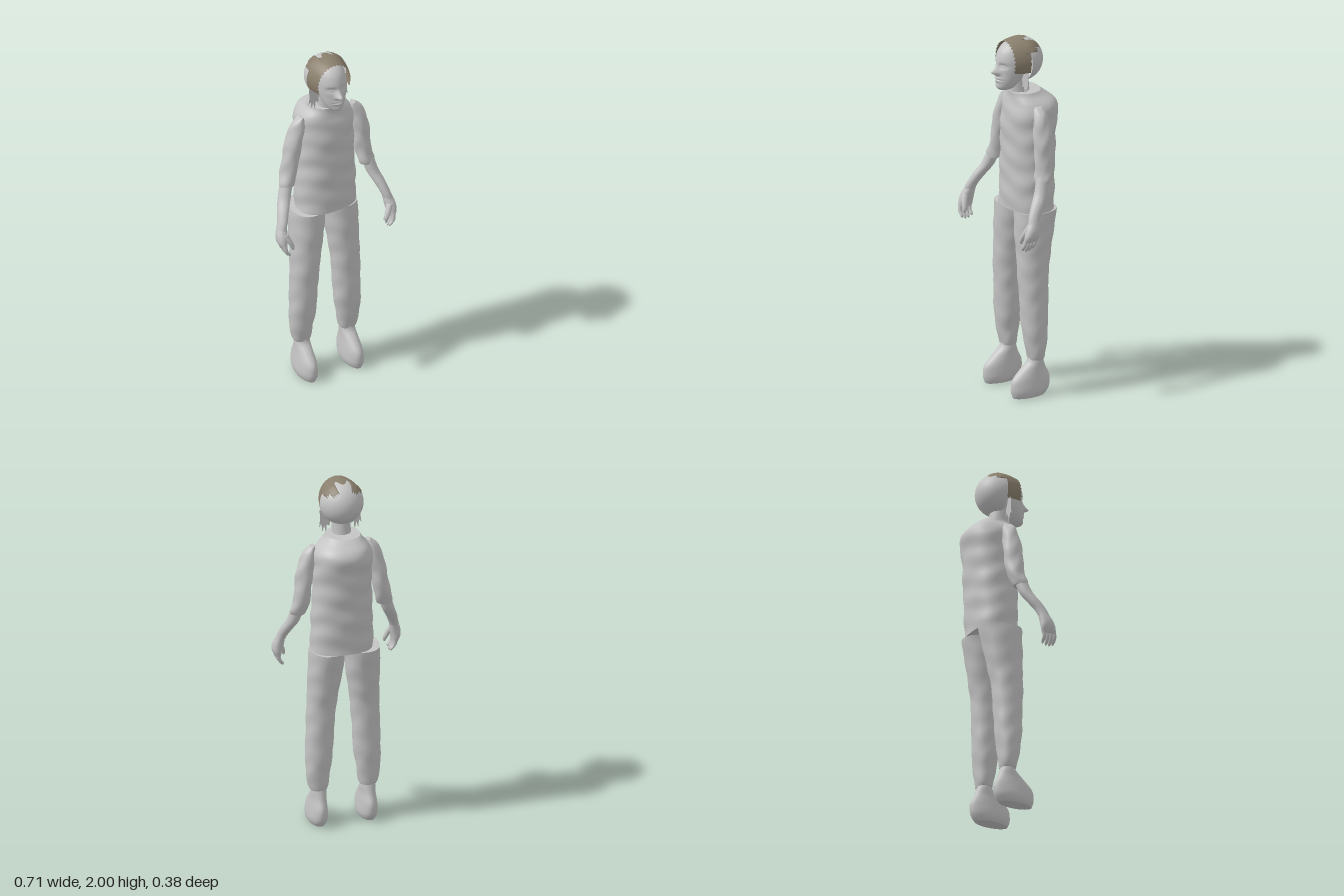
import * as THREE from 'three';

const grey = new THREE.MeshStandardMaterial({ color: 0xc4c4c4, side: THREE.DoubleSide });
grey.name = 'plain grey';
const brown = new THREE.MeshStandardMaterial({ color: 0x8a7f6d, side: THREE.DoubleSide });
brown.name = 'hair brown';

function mesh(name, geometry, material = grey) {
  const m = new THREE.Mesh(geometry, material);
  m.name = name;
  return m;
}

function indexed(pos, idx) {
  const g = new THREE.BufferGeometry();
  g.setAttribute('position', new THREE.Float32BufferAttribute(pos, 3));
  g.setIndex(idx);
  g.computeVertexNormals();
  return g;
}

// Smooth closed loft through horizontal sections [y, x, z, rx, rz].
// power 2 = ellipse, higher = boxier; move(p, angle) may displace side points.
function loft(sections, { rows = 24, cols = 28, power = 2, move = null } = {}) {
  const s = sections[0][0] < sections[sections.length - 1][0] ? sections : [...sections].reverse();
  const spline = (a, b) => new THREE.SplineCurve(s.map((q) => new THREE.Vector2(q[a], q[b])));
  const c1 = spline(0, 1), c2 = spline(2, 3), c3 = spline(4, 4);
  const pos = [], idx = [], p = new THREE.Vector3();
  const bend = (v) => Math.sign(v) * Math.abs(v) ** (2 / power);
  for (let i = 0; i <= rows; i++) {
    const a = c1.getPoint(i / rows), b = c2.getPoint(i / rows), c = c3.getPoint(i / rows);
    for (let j = 0; j < cols; j++) {
      const t = (j / cols) * Math.PI * 2;
      p.set(a.y + b.y * bend(Math.cos(t)), a.x, b.x + c.x * bend(Math.sin(t)));
      if (move) move(p, t);
      pos.push(p.x, p.y, p.z);
      if (i < rows) {
        const k = i * cols + j, n = i * cols + ((j + 1) % cols);
        idx.push(k, k + cols, n, n, k + cols, n + cols);
      }
    }
  }
  // flat ends with their own corners, so the rims stay crisp
  for (const [row, q] of [[0, s[0]], [rows, s[s.length - 1]]]) {
    const base = pos.length / 3;
    pos.push(...pos.slice(row * cols * 3, (row + 1) * cols * 3), q[1], q[0], q[2]);
    for (let j = 0; j < cols; j++) {
      const a = base + j, b = base + ((j + 1) % cols), m = base + cols;
      if (row) idx.push(m, b, a); else idx.push(m, a, b);
    }
  }
  return indexed(pos, idx);
}

// Soft cloth ripples
const ripple = (amp) => (p, t) => {
  const w = amp * (Math.sin(p.y * 52 + 2 * Math.sin(t * 2)) + 0.7 * Math.sin(p.y * 31 + t * 3));
  p.x += Math.cos(t) * w;
  p.z += Math.sin(t) * w;
};

// Gaussian face features: [x, y, width, height, push]
const features = [
  [0, 1.826, 0.012, 0.011, 0.029], [0, 1.845, 0.009, 0.017, 0.014],
  [-0.015, 1.821, 0.008, 0.008, 0.008], [0.015, 1.821, 0.008, 0.008, 0.008],
  [-0.034, 1.862, 0.017, 0.010, -0.013], [0.034, 1.862, 0.017, 0.010, -0.013],
  [-0.034, 1.860, 0.009, 0.005, 0.006], [0.034, 1.860, 0.009, 0.005, 0.006],
  [0, 1.790, 0.021, 0.005, 0.007], [0, 1.776, 0.018, 0.005, 0.007],
  [0, 1.783, 0.024, 0.003, -0.006], [0, 1.743, 0.020, 0.010, 0.005],
];
function sculptFace(p, t) {
  if (Math.sin(t) <= 0) return;
  let d = 0;
  for (const [x, y, w, h, push] of features) {
    d += push * Math.exp(-(((p.x - 0.008 - x) / w) ** 2 + ((p.y - y) / h) ** 2) / 2);
  }
  p.z += d;
}

function buildHead() {
  const head = new THREE.Group();
  head.name = 'head';
  // face sections: y, half width, front z, back z
  const face = [
    [1.718, 0.018, 0.13, 0.07], [1.73, 0.038, 0.148, 0.05], [1.75, 0.054, 0.153, 0.03],
    [1.78, 0.068, 0.155, 0.0], [1.82, 0.079, 0.153, -0.03], [1.86, 0.084, 0.153, -0.05],
    [1.90, 0.084, 0.148, -0.06], [1.94, 0.075, 0.132, -0.06], [1.97, 0.055, 0.102, -0.04],
    [1.987, 0.015, 0.06, 0.01],
  ].map(([y, rx, f, b]) => [y, 0.008, (f + b) / 2, rx, (f - b) / 2]);
  head.add(mesh('face', loft(face, { rows: 110, cols: 110, move: sculptFace })));
  head.add(mesh('neck', loft([
    [1.64, 0.008, 0.01, 0.06, 0.06], [1.70, 0.008, 0.013, 0.052, 0.055], [1.78, 0.008, 0.02, 0.052, 0.055],
  ])));

  // open half shell over the back of the skull
  const shell = new THREE.SphereGeometry(0.12, 40, 28, Math.PI, Math.PI);
  shell.rotateY(Math.PI);
  const back = mesh('backOfHead', shell);
  shell.computeBoundingBox();
  if (shell.boundingBox.max.z > 0.06) shell.rotateY(Math.PI);
  back.position.set(0.01, 1.876, 0.006);
  head.add(back);

  // brown arch of hair with a jagged rear edge
  const rearEdge = (a) => {
    const b = Math.abs(a);
    const jag = 0.006 * Math.sin(a * 47);
    if (b < 0.2) return -0.03 + b * b * 0.6;
    if (b < 0.34) return 0.005 + jag;
    if (b < 0.8) return -0.072 + jag;
    if (b < 1.05) return -0.045 + jag;
    return 0.01;
  };
  const pos = [], idx = [], cols = 96, rows = 12, reach = 2.0;
  for (let i = 0; i <= rows; i++) {
    for (let j = 0; j <= cols; j++) {
      const a = -reach + (2 * reach * j) / cols;
      const front = 0.1 + 0.004 * Math.sin(a * 31);
      const z = THREE.MathUtils.lerp(front, rearEdge(a), i / rows);
      const r = z > 0.01 ? 0.124 - 1.6 * (z - 0.01) ** 2 : Math.sqrt(0.124 ** 2 - (z - 0.01) ** 2);
      const narrow = z > 0 ? 0.97 - z * 0.9 : 1;
      pos.push(0.009 + r * narrow * Math.sin(a), 1.876 + r * Math.cos(a), z);
      if (i < rows && j < cols) {
        const k = i * (cols + 1) + j, n = k + cols + 1;
        idx.push(k, k + 1, n, k + 1, n + 1, n);
      }
    }
  }
  head.add(mesh('hair', indexed(pos, idx), brown));

  // ragged locks beside the jaw
  for (const s of [1, -1]) {
    const outline = [[0.07, 1.83], [0.115, 1.83], [0.113, 1.77], [0.118, 1.73], [0.105, 1.745], [0.1, 1.7],
      [0.09, 1.735], [0.08, 1.69], [0.075, 1.74], [0.06, 1.73], [0.055, 1.78]];
    const shape = new THREE.Shape(outline.map(([x, y]) => new THREE.Vector2(0.008 + s * x, y)));
    const lock = mesh(s > 0 ? 'leftLock' : 'rightLock', new THREE.ShapeGeometry(shape));
    lock.position.z = 0.03;
    head.add(lock);
  }
  return head;
}

function buildArm(s) {
  const arm = new THREE.Group();
  arm.name = s > 0 ? 'leftArm' : 'rightArm';
  // shoulders sit slightly to the left of the hands' midline
  const place = (list) => list.map(([y, x, z, rx, rz]) =>
    [y, s * x + 0.018 * THREE.MathUtils.smoothstep(y, 1.05, 1.6), z, rx, rz]);
  const add = (name, list, opts) => arm.add(mesh(name, loft(place(list), opts)));
  add('sleeve', [
    [1.643, 0.156, -0.003, 0.012, 0.024], [1.61, 0.172, -0.004, 0.034, 0.036], [1.55, 0.188, -0.004, 0.044, 0.047],
    [1.48, 0.203, -0.003, 0.047, 0.052], [1.4, 0.214, -0.002, 0.045, 0.053], [1.32, 0.226, 0.002, 0.045, 0.049],
    [1.27, 0.238, 0.014, 0.047, 0.043], [1.245, 0.242, 0.02, 0.042, 0.037],
  ], { rows: 48, move: ripple(0.0018) });
  add('forearm', [
    [1.28, 0.242, 0.018, 0.034, 0.034], [1.2, 0.264, 0.04, 0.034, 0.037], [1.14, 0.29, 0.075, 0.031, 0.038],
    [1.09, 0.308, 0.105, 0.027, 0.034], [1.05, 0.321, 0.12, 0.026, 0.032],
  ]);
  add('palm', [
    [1.06, 0.318, 0.116, 0.025, 0.03], [1.02, 0.326, 0.13, 0.029, 0.038], [0.985, 0.33, 0.137, 0.025, 0.042],
    [0.955, 0.326, 0.142, 0.016, 0.04],
  ], { power: 2.4 });
  for (let f = 0; f < 4; f++) {
    const z = 0.112 + f * 0.02, tip = 0.89 + 0.008 * Math.abs(f - 1.6);
    add('finger', [
      [0.975, 0.329, z, 0.012, 0.011], [0.935, 0.322, z + 0.006, 0.011, 0.0105],
      [tip + 0.012, 0.306, z + 0.006, 0.0095, 0.009], [tip, 0.301, z + 0.005, 0.003, 0.003],
    ], { rows: 10, cols: 12 });
  }
  add('thumb', [
    [1.03, 0.318, 0.148, 0.018, 0.02], [0.99, 0.299, 0.165, 0.016, 0.017], [0.955, 0.284, 0.173, 0.012, 0.013],
    [0.935, 0.281, 0.175, 0.004, 0.005],
  ], { rows: 12, cols: 14 });
  return arm;
}

function buildLeg(s) {
  const leg = new THREE.Group();
  leg.name = s > 0 ? 'leftLeg' : 'rightLeg';
  const place = (list) => list.map(([y, x, ...rest]) => [y, s * x + 0.003, ...rest]);
  leg.add(mesh('trouserLeg', loft(place([
    [1.04, 0.096, -0.03, 0.094, 0.12], [0.92, 0.103, -0.018, 0.092, 0.108], [0.8, 0.112, -0.008, 0.084, 0.094],
    [0.7, 0.12, 0.0, 0.079, 0.085], [0.55, 0.128, 0.0, 0.075, 0.077], [0.4, 0.134, 0.0, 0.073, 0.07],
    [0.3, 0.14, -0.003, 0.064, 0.058], [0.23, 0.139, -0.006, 0.055, 0.047], [0.205, 0.138, -0.006, 0.047, 0.042],
  ]), { rows: 60, power: 2.2, move: ripple(0.0012) })));
  leg.add(mesh('foot', loft(place([
    [0.22, 0.136, -0.005, 0.038, 0.038], [0.19, 0.136, -0.003, 0.042, 0.048], [0.15, 0.137, 0.012, 0.044, 0.077],
    [0.1, 0.138, 0.025, 0.05, 0.113], [0.05, 0.139, 0.03, 0.055, 0.117], [0.02, 0.139, 0.034, 0.052, 0.108],
    [0, 0.139, 0.038, 0.042, 0.096],
  ]), { rows: 30, cols: 36 })));
  return leg;
}

export function createModel() {
  const model = new THREE.Group();
  model.name = 'standingFigure';
  model.add(mesh('shirt', loft([
    [1.04, 0.018, -0.025, 0.17, 0.125], [1.2, 0.018, -0.028, 0.166, 0.129], [1.35, 0.018, -0.033, 0.16, 0.132],
    [1.5, 0.018, -0.038, 0.157, 0.136], [1.59, 0.018, -0.047, 0.158, 0.139], [1.64, 0.015, -0.045, 0.143, 0.128],
    [1.68, 0.01, -0.027, 0.105, 0.102], [1.7, 0.008, -0.015, 0.092, 0.088],
  ], { rows: 90, cols: 60, power: 2.35, move: ripple(0.0022) })));
  model.add(buildHead());
  for (const s of [1, -1]) model.add(buildArm(s), buildLeg(s));
  return model;
}
